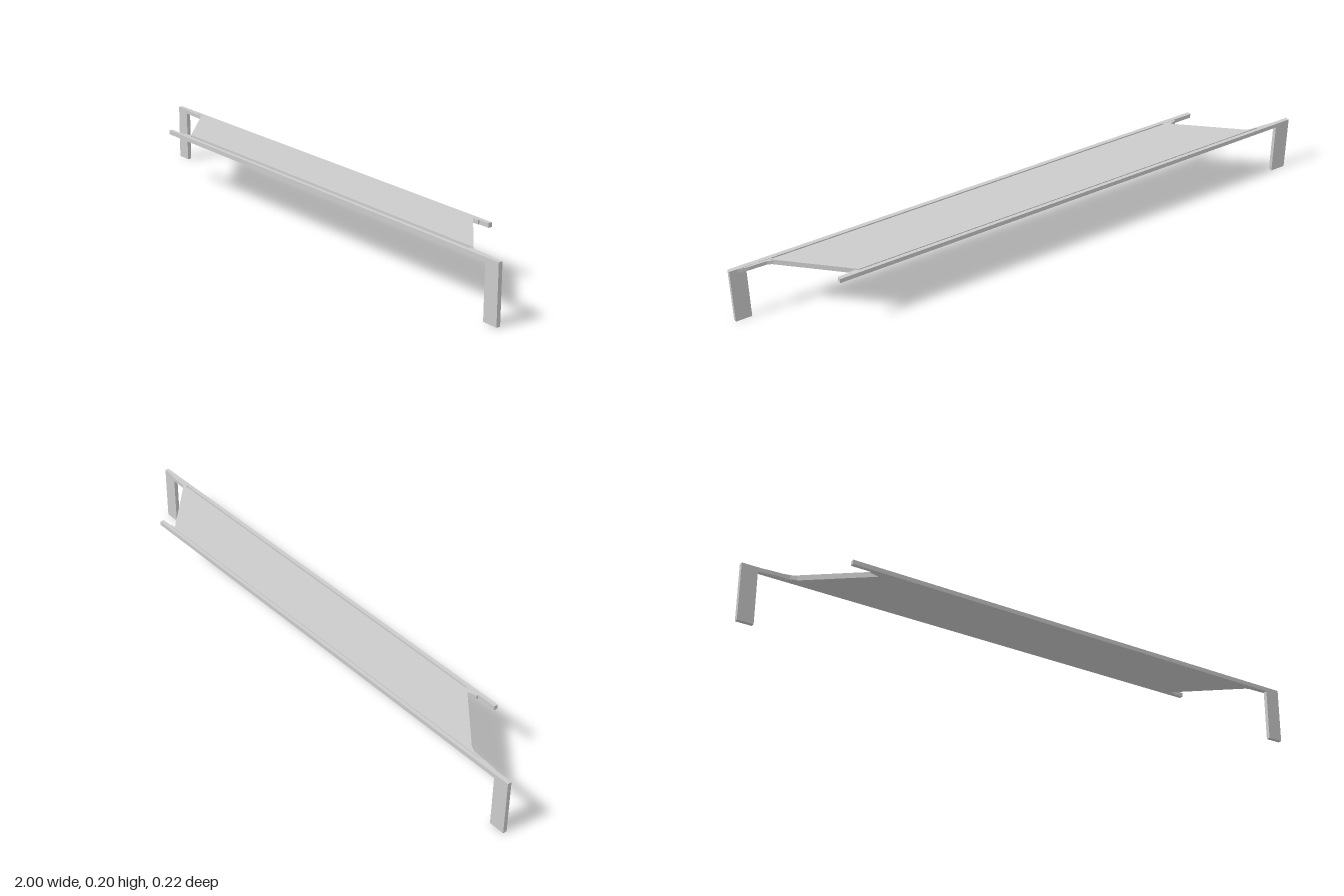
import * as THREE from 'three';

const material = new THREE.MeshStandardMaterial({ color: 0xcccccc, flatShading: true });

export function createModel() {
  const model = new THREE.Group();

  const add = (name, geometry) => {
    const mesh = new THREE.Mesh(geometry, material);
    mesh.name = name;
    model.add(mesh);
  };

  // Box given by its limits on each axis
  const box = (name, x0, x1, y0, y1, z0, z1) =>
    add(name, new THREE.BoxGeometry(x1 - x0, y1 - y0, z1 - z0)
      .translate((x0 + x1) / 2, (y0 + y1) / 2, (z0 + z1) / 2));

  // Horizontal plate from an outline of [x, z] points
  const plate = (name, points, bottom, top) => {
    const shape = new THREE.Shape(points.map(([x, z]) => new THREE.Vector2(x, z)));
    const geometry = new THREE.ExtrudeGeometry(shape, { depth: top - bottom, bevelEnabled: false });
    add(name, geometry.rotateX(Math.PI / 2).translate(0, top, 0));
  };

  // Long side rails, each overhanging the deck at one end, with one leg
  for (const [side, s] of [['front', 1], ['back', -1]]) {
    const span = (a, b) => [Math.min(a * s, b * s), Math.max(a * s, b * s)];
    const z = span(0.097, 0.111);
    box(side + 'Rail', ...span(-0.73, 1), 0.179, 0.194, ...z);
    box(side + 'Leg', ...span(0.945, 1), 0, 0.179, ...z);
  }

  // Slanted deck
  plate('deck', [[-0.83, -0.09], [-0.87, -0.099], [0.66, -0.099], [0.87, 0.088], [-0.62, 0.088]], 0.179, 0.197);

  // Low strip joining the deck to the front rail
  plate('frontStrip', [[-0.64, 0.088], [0.87, 0.088], [0.9, 0.098], [-0.66, 0.098]], 0.179, 0.187);

  // Small gussets that ease the deck corners into the rails
  plate('frontLongGusset', [[0.86, 0.08], [0.88, 0.089], [0.94, 0.091], [0.98, 0.098], [0.86, 0.098]], 0.18, 0.193);
  plate('backLongGusset', [[-0.82, -0.08], [-0.84, -0.089], [-0.9, -0.092], [-0.96, -0.098], [-0.82, -0.098]], 0.18, 0.193);
  plate('frontShortGusset', [[-0.62, 0.08], [-0.66, 0.091], [-0.66, 0.098], [-0.61, 0.098]], 0.18, 0.193);
  plate('backShortGusset', [[0.65, -0.09], [0.69, -0.092], [0.69, -0.098], [0.65, -0.098]], 0.18, 0.193);

  return model;
}
